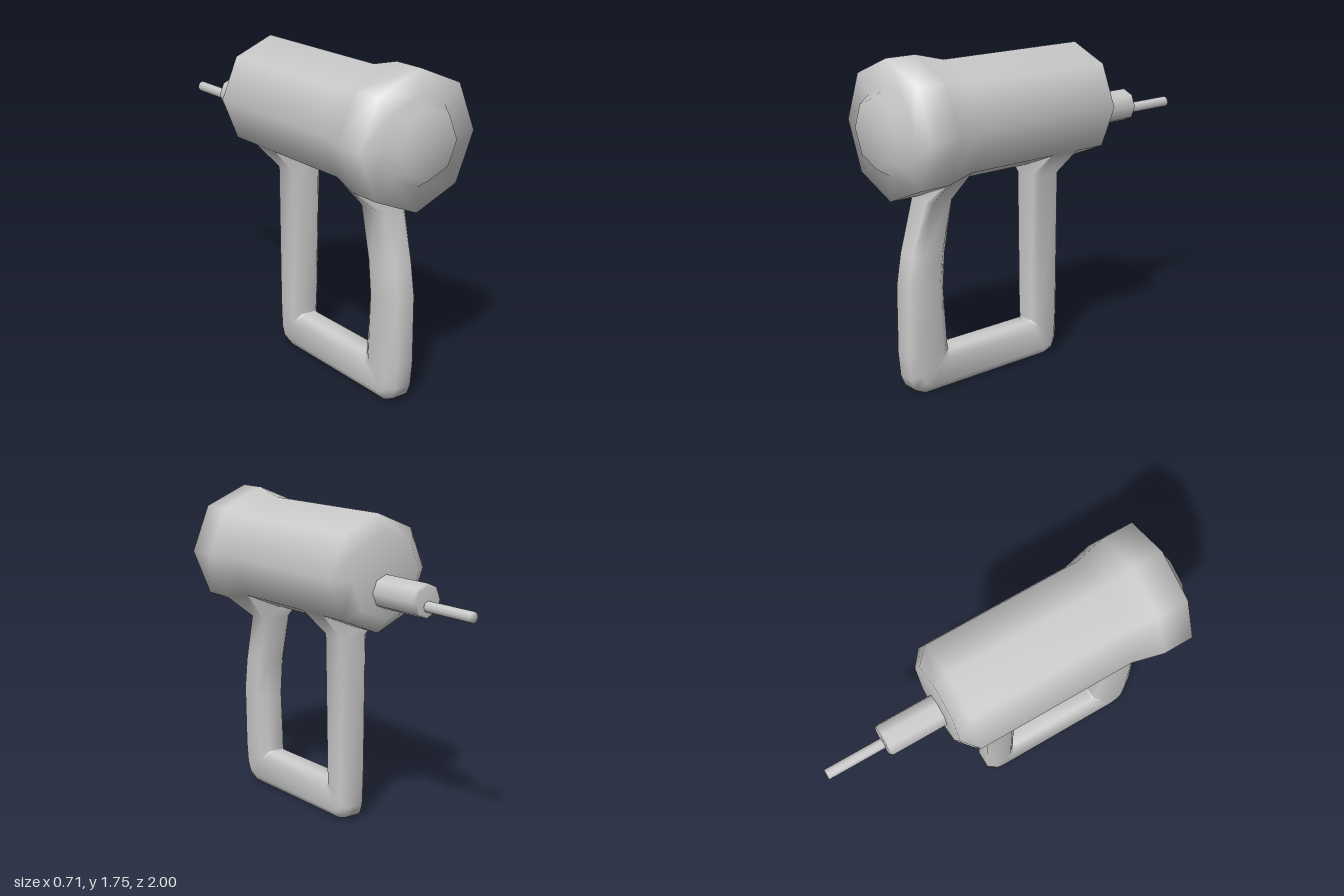
import * as THREE from 'three';

const material = new THREE.MeshStandardMaterial({ color: 0xcccccc });

// Eight-sided turned part along z; profile is [z, radius] from back to front
function turned(name, y, profile) {
  const points = profile.map(([z, r]) => new THREE.Vector2(r, z));
  const geometry = new THREE.LatheGeometry(points, 8).rotateX(Math.PI / 2);
  const mesh = new THREE.Mesh(geometry, material);
  mesh.name = name;
  mesh.position.y = y;
  return mesh;
}

// Grip loop: chamfered cross-sections running down the grip, along the base and up the front post
function gripLoop() {
  // outer z, outer y, inner z, inner y, half width outside, half width inside, chamfer
  const stations = [
    [0.755, 1.15, 0.585, 1.18, 0.25, 0.22, 0.02],
    [0.757, 1.02, 0.594, 1.02, 0.09, 0.09, 0.16],
    [0.84, 0.75, 0.64, 0.75, 0.087, 0.087, 0.2],
    [0.87, 0.58, 0.655, 0.55, 0.085, 0.085, 0.2],
    [0.876, 0.22, 0.636, 0.26, 0.081, 0.081, 0.2],
    [0.865, 0.09, 0.633, 0.215, 0.08, 0.08, 0.2],
    [0.84, 0.03, 0.63, 0.21, 0.08, 0.08, 0.2],
    [0.78, 0.0, 0.62, 0.208, 0.08, 0.08, 0.2],
    [-0.03, 0.0, 0.07, 0.208, 0.08, 0.08, 0.2],
    [-0.09, 0.02, 0.062, 0.21, 0.08, 0.08, 0.2],
    [-0.113, 0.08, 0.06, 0.215, 0.08, 0.08, 0.2],
    [-0.115, 0.26, 0.06, 0.26, 0.082, 0.082, 0.18],
    [-0.115, 1.04, 0.06, 1.04, 0.09, 0.09, 0.16],
    [-0.115, 1.18, 0.06, 1.18, 0.22, 0.22, 0.02],
  ];
  const sides = 8, positions = [], index = [];
  for (const [oz, oy, iz, iy, wo, wi, c] of stations) {
    const half = [[0, 1 - 2 * c], [c, 1], [1 - c, 1], [1, 1 - 2 * c]];
    const ring = [...half, ...half.map(([u, x]) => [u, -x]).reverse()];
    for (const [u, x] of ring) {
      positions.push(x * (wi + (wo - wi) * u), iy + (oy - iy) * u, iz + (oz - iz) * u);
    }
  }
  for (let i = 0; i < stations.length - 1; i++) {
    for (let j = 0; j < sides; j++) {
      const k = (j + 1) % sides;
      const a = i * sides + j, b = i * sides + k;
      index.push(a, b, b + sides, a, b + sides, a + sides);
    }
  }
  const geometry = new THREE.BufferGeometry();
  geometry.setAttribute('position', new THREE.Float32BufferAttribute(positions, 3));
  geometry.setIndex(index);
  geometry.computeVertexNormals();
  const mesh = new THREE.Mesh(geometry, material);
  mesh.name = 'gripLoop';
  return mesh;
}

export function createModel() {
  const model = new THREE.Group();
  model.name = 'powerDrill';
  model.add(
    // Motor housing with flared collar and raised end cap
    turned('motorHousing', 1.4, [
      [-0.36, 0], [-0.36, 0.225], [-0.29, 0.312], [0.585, 0.312], [0.755, 0.355],
      [0.925, 0.355], [0.925, 0.225], [1, 0.175], [1, 0],
    ]),
    // Chuck and bit sit below the housing axis
    turned('chuck', 1.317, [[-0.68, 0], [-0.68, 0.078], [-0.668, 0.09], [-0.33, 0.09]]),
    turned('drillBit', 1.29, [[-1, 0], [-1, 0.03], [-0.66, 0.03]]),
    gripLoop(),
  );
  return model;
}
